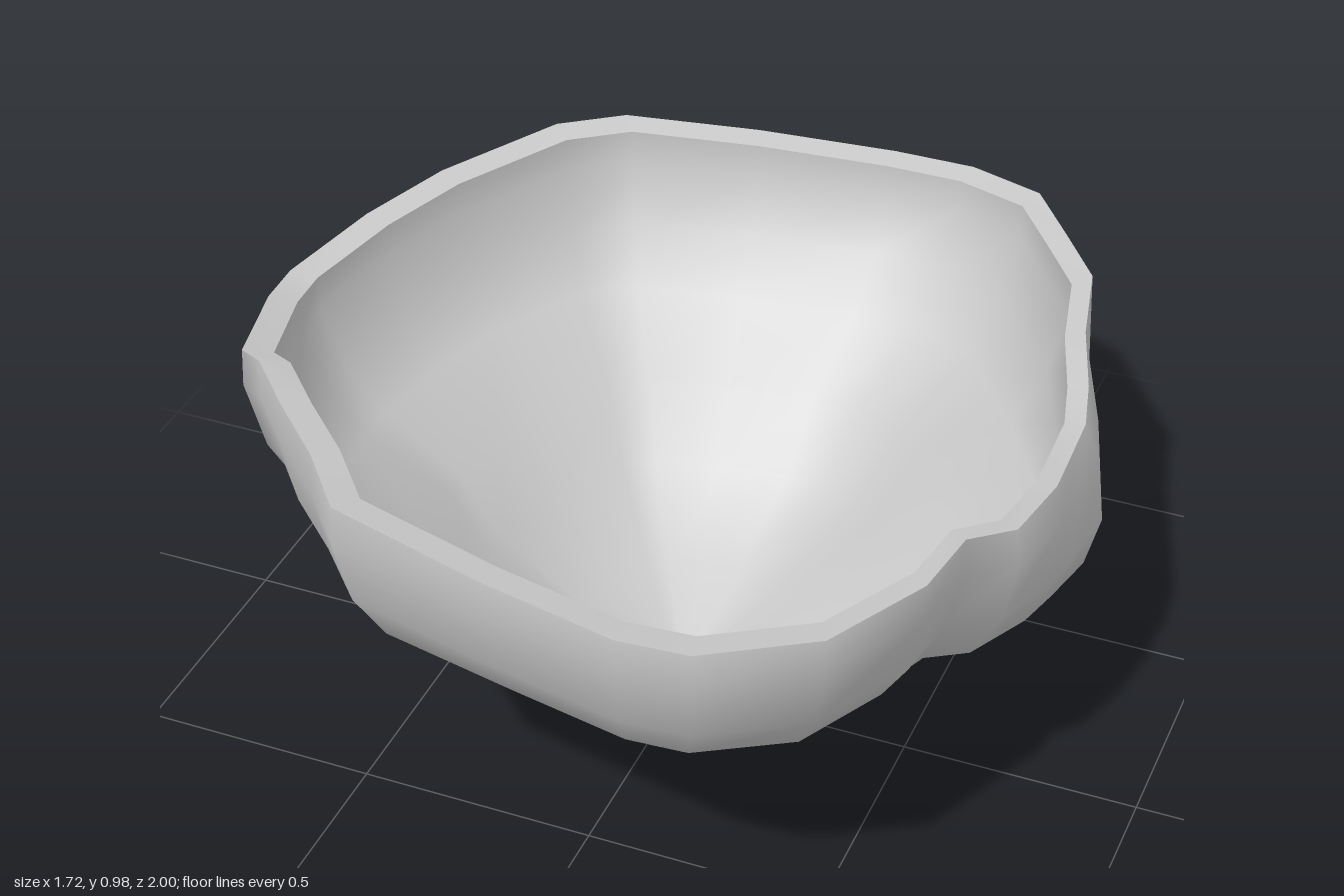
import * as THREE from 'three';

// Rim outline seen from above: x, z, height
const RIM = [
  [0.10, -1.00, 0.80], [0.28, -1.00, 0.80], [0.46, -0.90, 0.83], [0.57, -0.73, 0.85], [0.67, -0.58, 0.86],
  [0.72, -0.36, 0.87], [0.78, -0.18, 0.87], [0.81, -0.06, 0.865], [0.82, 0.08, 0.88], [0.83, 0.20, 0.90],
  [0.81, 0.38, 0.92], [0.74, 0.47, 0.94], [0.72, 0.63, 0.945], [0.62, 0.87, 0.97], [0.42, 0.99, 0.965],
  [0.28, 1.00, 0.965], [0.00, 0.95, 0.975], [-0.33, 0.86, 0.98], [-0.45, 0.71, 0.965], [-0.58, 0.58, 0.96],
  [-0.69, 0.46, 0.955], [-0.75, 0.42, 0.94], [-0.84, 0.15, 0.88], [-0.86, 0.02, 0.86], [-0.81, -0.23, 0.865],
  [-0.74, -0.45, 0.865], [-0.60, -0.74, 0.855], [-0.48, -0.85, 0.845], [-0.20, -0.94, 0.82],
];
// Wall profile: share of rim radius, share of rim height, strength of the bulges
const PROFILE = [
  [0, 0, 0], [0.08, 0.055, 0], [0.275, 0.147, 0.04], [0.52, 0.305, 0.16], [0.645, 0.48, 0.2],
  [0.86, 0.62, 0.165], [0.95, 0.75, 0.11], [1, 0.91, 0.04], [1, 1, 0],
];
// Bulges and hollows around the wall: direction, half width, amount
const BULGES = [[-0.1, 0.65, 1], [2.3, 0.6, 0.28], [3.14, 0.5, -0.15]];
const TIP_Z = 0.025;

// One closed ring of the wall; the inner skin is a slightly smaller, raised copy
function ring([radius, height, strength], inner) {
  return RIM.map(([x, z, y]) => {
    const dz = z - TIP_Z;
    const angle = Math.atan2(dz, x);
    let s = radius;
    for (const [direction, width, amount] of BULGES) {
      const d = Math.abs(angle - direction);
      const gap = Math.min(d, 2 * Math.PI - d);
      s += strength * amount * Math.max(0, 1 - gap / width);
    }
    // The mid wall sits higher at the front than at the back
    const level = y * height + 0.025 * z * Math.sin(Math.PI * height);
    return inner
      ? [x * s * 0.94 + 0.006, level * 0.937 + 0.045, TIP_Z + dz * s * 0.934 - 0.008]
      : [x * s, level, TIP_Z + dz * s];
  });
}

// Skin a series of closed rings
function loft(name, rings, material) {
  const n = RIM.length;
  const index = [];
  for (let i = 0; i < rings.length - 1; i++) {
    for (let j = 0; j < n; j++) {
      const a = i * n + j, b = i * n + ((j + 1) % n);
      index.push(a, a + n, b, b, a + n, b + n);
    }
  }
  const geometry = new THREE.BufferGeometry();
  geometry.setAttribute('position', new THREE.Float32BufferAttribute(rings.flat(2), 3));
  geometry.setIndex(index);
  geometry.computeVertexNormals();
  const mesh = new THREE.Mesh(geometry, material);
  mesh.name = name;
  return mesh;
}

export function createModel() {
  const group = new THREE.Group();
  group.name = 'shellBowl';
  const material = new THREE.MeshStandardMaterial({ color: 0xcccccc });
  const outer = PROFILE.map((p) => ring(p, false));
  const inner = PROFILE.map((p) => ring(p, true)).reverse();

  // Outer skin from tip to rim, sloping rim band, inner skin from rim to tip
  group.add(loft('outerWall', outer, material));
  group.add(loft('rim', [outer[outer.length - 1], inner[0]], material));
  group.add(loft('innerWall', inner, material));
  return group;
}
